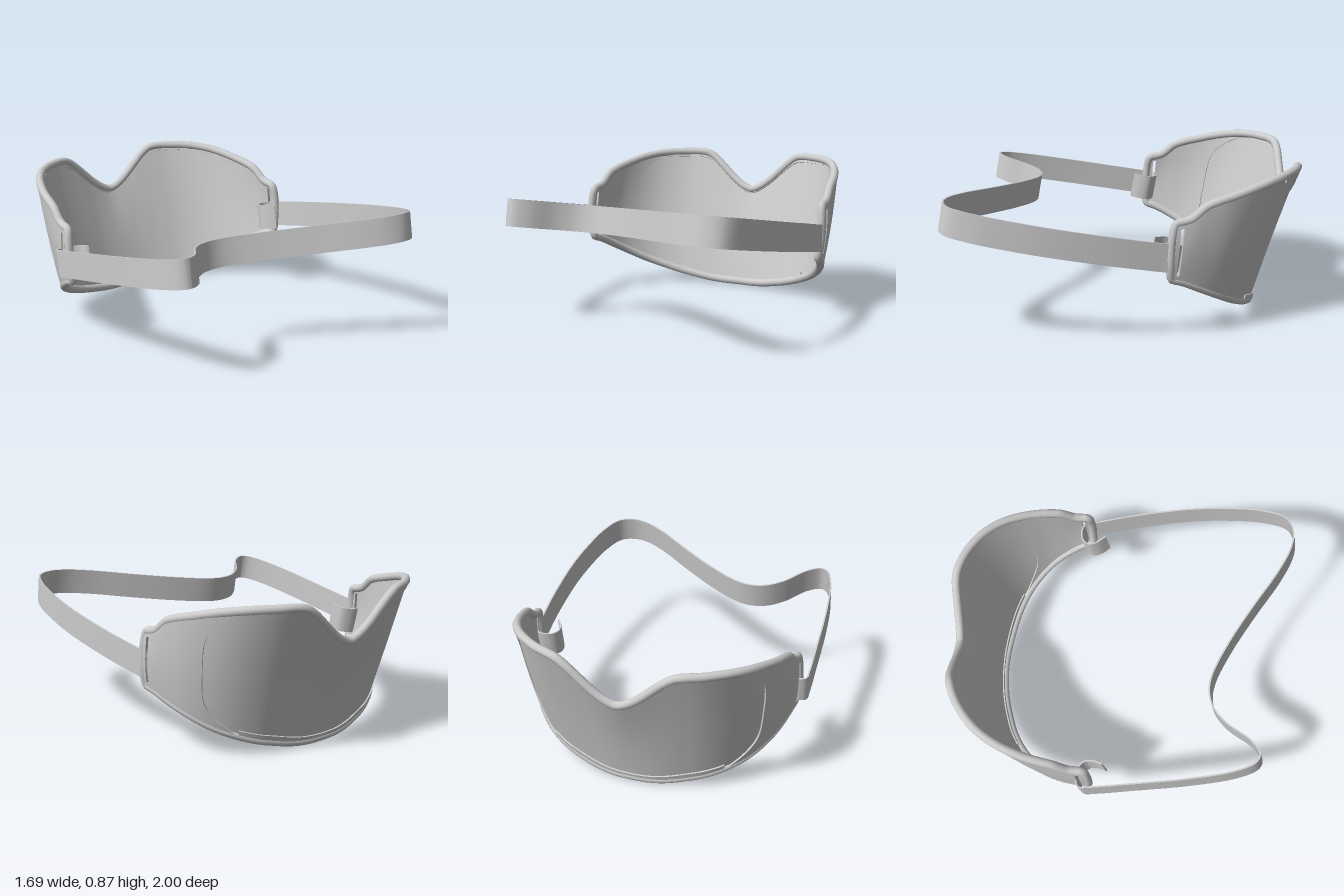
import * as THREE from 'three';
import { toCreasedNormals } from 'three/addons/utils/BufferGeometryUtils.js';

const V = (x, y, z) => new THREE.Vector3(x, y, z);
const material = new THREE.MeshStandardMaterial({ color: 0xcccccc, side: THREE.DoubleSide });

// Half outlines from the centre line to the ear; both are mirrored below.
const topHalf = [[0, .61, -.965], [.12, .67, -.97], [.22, .76, -.975], [.32, .835, -.972], [.45, .845, -.925],
  [.58, .84, -.83], [.67, .82, -.71], [.735, .78, -.55], [.765, .735, -.4], [.775, .675, -.325], [.78, .65, -.24]];
const bottomHalf = [[0, .025, -.768], [.11, .026, -.762], [.2, .035, -.747], [.3, .055, -.722], [.4, .08, -.69],
  [.51, .12, -.635], [.6, .165, -.565], [.68, .225, -.47], [.73, .28, -.37], [.757, .322, -.285], [.772, .345, -.22]];
const N = topHalf.length - 1;
const mirrored = (half) => new THREE.CatmullRomCurve3([
  ...half.slice(1).reverse().map(([x, y, z]) => V(-x, y, z)), ...half.map((p) => V(...p))]);
const topCurve = mirrored(topHalf), bottomCurve = mirrored(bottomHalf);

// Mask surface: u runs ear to ear (-N..N), v runs bottom to top (0..1).
function surface(u, v) {
  const k = THREE.MathUtils.clamp((u + N) / (2 * N), 0, 1);
  const p = bottomCurve.getPoint(k).lerp(topCurve.getPoint(k), v);
  const bulge = Math.sin(Math.PI * v);
  p.x *= 1 + .015 * bulge;
  p.z += .014 * bulge * Math.max(0, 1 - Math.abs(u) / 6);
  return p;
}

function offsetSurface(u, v, d) {
  const e = .02;
  const a = Math.min(u + e, N), b = Math.max(u - e, -N), c = Math.min(v + e, 1), f = Math.max(v - e, 0);
  const du = surface(a, v).sub(surface(b, v)), dv = surface(u, c).sub(surface(u, f));
  return surface(u, v).addScaledVector(dv.cross(du).normalize(), d);
}

// Skin over closed loops of equal length; each loop is an inner run followed by the outer run reversed.
function loft(loops, crease) {
  const n = loops[0].length, pos = [], idx = [];
  loops.forEach((l) => l.forEach((p) => pos.push(p.x, p.y, p.z)));
  for (let i = 0; i < loops.length - 1; i++) for (let j = 0; j < n; j++) {
    const a = i * n + j, b = i * n + (j + 1) % n;
    idx.push(a, b, a + n, b, b + n, a + n);
  }
  const cap = (s, flip) => {
    for (let j = 0; j < n / 2 - 1; j++) {
      const q = [s + j, s + n - 1 - j, s + n - 2 - j, s + j + 1];
      if (flip) q.reverse();
      idx.push(q[0], q[1], q[2], q[0], q[2], q[3]);
    }
  };
  cap(0, true);
  cap((loops.length - 1) * n, false);
  const g = new THREE.BufferGeometry();
  g.setAttribute('position', new THREE.Float32BufferAttribute(pos, 3));
  g.setIndex(idx);
  return toCreasedNormals(g, crease);
}

// Solid patch of the mask between u0(v) and u1, v0 and v1, from depth d0 to d1.
function patch(u0, u1, v0, v1, d0, d1, nu, nv) {
  const loops = [];
  for (let i = 0; i <= nv; i++) {
    const v = v0 + (v1 - v0) * i / nv, start = typeof u0 === 'function' ? u0(v) : u0;
    const inner = [], outer = [];
    for (let j = 0; j <= nu; j++) {
      const u = start + (u1 - start) * j / nu;
      inner.push(offsetSurface(u, v, d0));
      outer.unshift(offsetSurface(u, v, d1));
    }
    loops.push([...inner, ...outer]);
  }
  return loft(loops, .7);
}

// Flat band with its height tilted to the slope of the strap.
function band(points, height, thick, steps) {
  const curve = new THREE.CatmullRomCurve3(points.map(([x, z]) => V(x, .505 + .178 * z, z)));
  const up = V(0, 1, -.178).normalize().multiplyScalar(height / 2), loops = [];
  for (let i = 0; i <= steps; i++) {
    const p = curve.getPoint(i / steps), side = curve.getTangent(i / steps).cross(up).setLength(thick / 2);
    loops.push([[-1, -1], [1, -1], [1, 1], [-1, 1]].map(([a, b]) =>
      p.clone().addScaledVector(up, a).addScaledVector(side, b)));
  }
  return loft(loops, .7);
}

export function createModel() {
  const model = new THREE.Group();
  const add = (name, geometry, parent = model) => {
    const m = new THREE.Mesh(geometry, material);
    m.name = name;
    parent.add(m);
    return m;
  };

  // Thin curved front panel, tucked into the frame
  add('frontPanel', patch(-7, 7, 0, 1, -.004, .004, 72, 24));

  // Side frames with rounded panel opening and a strap slot in each ear
  const edge = (v) => 6.4 - 1.9 * Math.abs(2 * v - 1) ** 6;
  const slot0 = 9.5, slot1 = 9.72;
  for (const s of [1, -1]) {
    const ear = new THREE.Group();
    ear.name = s > 0 ? 'leftSideFrame' : 'rightSideFrame';
    model.add(ear);
    add('sideFrame', patch((v) => s * edge(v), s * slot0, 0, 1, -.012, .014, 20, 32), ear);
    add('slotLowerBridge', patch(s * slot0, s * slot1, 0, .1, -.012, .014, 2, 3), ear);
    add('slotUpperBridge', patch(s * slot0, s * slot1, .9, 1, -.012, .014, 2, 3), ear);
    add('earEnd', patch(s * slot1, s * N, 0, 1, -.012, .014, 3, 16), ear);
  }

  // Narrow frame strips above and below the panel
  add('lowerFrame', patch(-4.8, 4.8, 0, .055, -.012, .012, 50, 2));
  add('upperFrame', patch(-4.8, 4.8, .955, 1, -.012, .012, 50, 2));

  // Rounded bead around the whole outline
  const path = [];
  for (let u = -N; u <= N; u += .5) path.push(offsetSurface(u, 1, -.006));
  path.push(V(.782, .58, -.22), V(.782, .43, -.212));
  for (let u = N; u >= -N; u -= .5) path.push(offsetSurface(u, 0, -.006));
  path.push(V(-.782, .43, -.212), V(-.782, .58, -.22));
  add('rim', new THREE.TubeGeometry(new THREE.CatmullRomCurve3(path, true), 320, .024, 12, true));

  // Elastic strap, hooked through both slots and hanging in a wave
  add('strap', band([[-.71, -.12], [-.69, -.17], [-.69, -.22], [-.73, -.255], [-.79, -.267], [-.835, -.25], [-.838, -.19],
    [-.828, .03], [-.81, .345], [-.775, .61], [-.73, .725], [-.685, .747], [-.605, .7], [-.5, .57],
    [-.405, .5], [-.31, .48], [-.21, .5], [-.02, .6], [.19, .74], [.4, .89], [.54, .965], [.64, .983],
    [.73, .95], [.79, .82], [.825, .61], [.838, .4], [.825, .08], [.795, -.18], [.785, -.245], [.74, -.265],
    [.685, -.255], [.657, -.22], [.665, -.17], [.7, -.12]], .155, .009, 200));

  return model;
}
